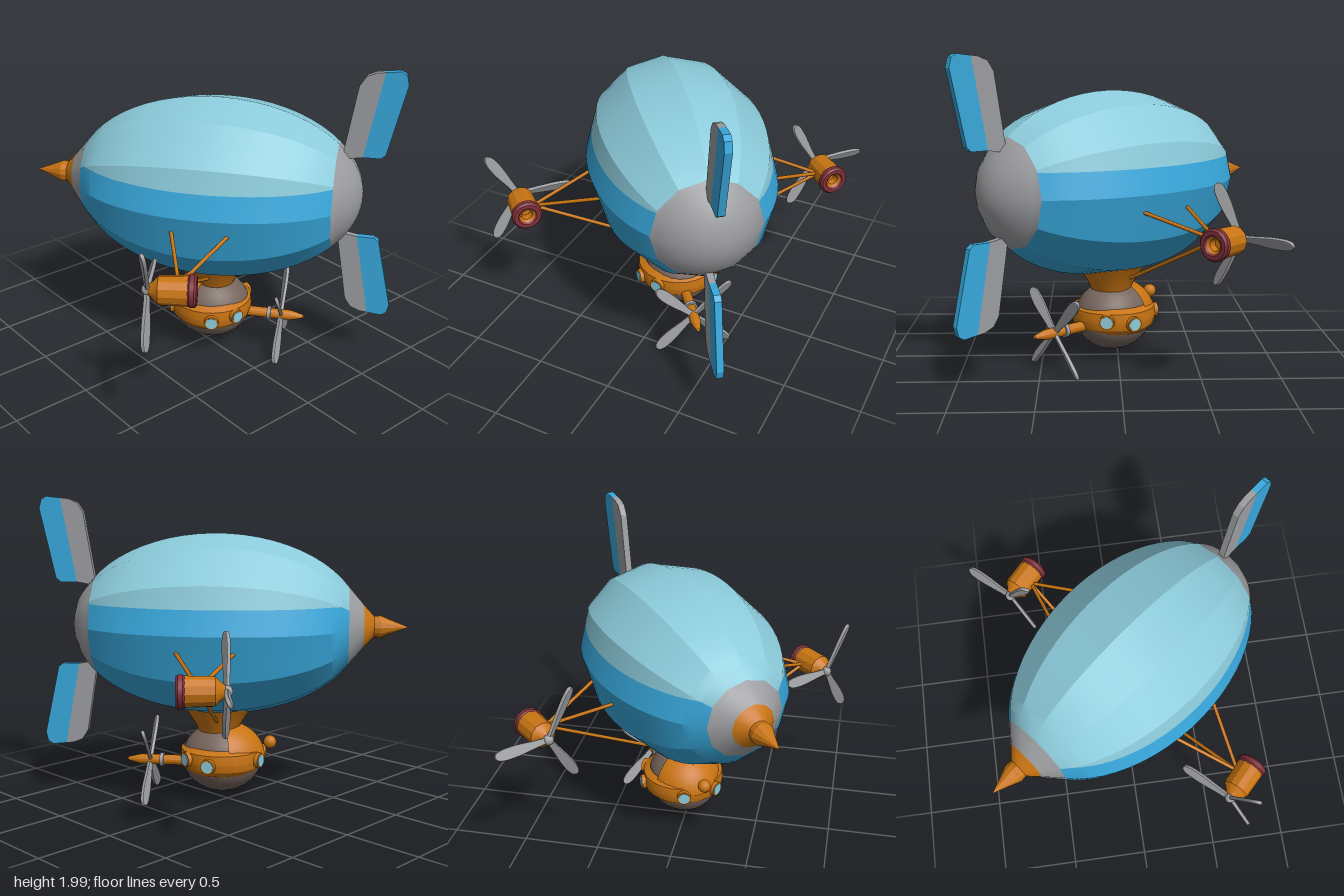
import * as THREE from 'three';
import { toCreasedNormals } from 'three/addons/utils/BufferGeometryUtils.js';

const material = (name, color, side = THREE.FrontSide) => {
  const m = new THREE.MeshStandardMaterial({ color, side });
  m.name = name;
  return m;
};

export function createModel() {
  const lightBlue = material('paleBlue', 0x8ccbdb);
  const blue = material('blue', 0x38a8dc);
  const grey = material('grey', 0x9c9da0);
  const orange = material('orange', 0xc87412, THREE.DoubleSide);
  const brown = material('brown', 0x75645c);
  const red = material('darkRed', 0x80303a);

  const model = new THREE.Group();
  const ship = new THREE.Group(); // nose towards -z, tail towards +z
  ship.name = 'airship';
  ship.rotation.y = 0.661;
  model.add(ship);

  const add = (parent, name, geometry, mat, x = 0, y = 0, z = 0) => {
    const mesh = new THREE.Mesh(geometry, mat);
    mesh.name = name;
    mesh.position.set(x, y, z);
    parent.add(mesh);
    return mesh;
  };
  // Turned profile of [radius, height] pairs, upright or lying along z
  const turned = (points, sides, alongZ = true, crease = 0.4) => {
    const g = new THREE.LatheGeometry(points.map(p => new THREE.Vector2(...p)), sides);
    if (alongZ) g.rotateX(Math.PI / 2);
    return toCreasedNormals(g, crease);
  };
  const rod = (parent, name, a, b, r, mat) => {
    const from = new THREE.Vector3(...a), to = new THREE.Vector3(...b);
    const mesh = add(parent, name, new THREE.CylinderGeometry(r, r, from.distanceTo(to), 8), mat);
    mesh.position.copy(from).lerp(to, 0.5);
    mesh.quaternion.setFromUnitVectors(new THREE.Vector3(0, 1, 0), to.sub(from).normalize());
  };

  // Hull: twelve-sided ellipsoid, split by a level paint line
  const R = 0.59, A = 0.94, hullY = 1.175, hullZ = 0.07, paintLine = 0.155;
  const tNose = -1.13, tTail = 0.96;
  const at = (r, deg) => {
    const a = THREE.MathUtils.degToRad(deg);
    return [r * Math.cos(a), r * Math.sin(a)];
  };
  const cut = (r, side) => {
    const t = Math.min(0.999, paintLine / (0.5 * r));
    return [side * r * (1 - 0.134 * t), 0.5 * r * t];
  };
  const upper = r => [cut(r, 1), ...[30, 60, 90, 120, 150].map(d => at(r, d)), cut(r, -1)];
  const lower = r => [cut(r, -1), ...[180, 210, 240, 270, 300, 330, 360].map(d => at(r, d)), cut(r, 1)];
  const hullPatch = section => {
    const rows = 20, pos = [], index = [], n = section(1).length;
    for (let i = 0; i <= rows; i++) {
      const t = THREE.MathUtils.lerp(tNose, tTail, i / rows);
      for (const [x, y] of section(R * Math.cos(t))) pos.push(x, y, A * Math.sin(t));
    }
    for (let i = 0; i < rows; i++) {
      for (let j = 0; j < n - 1; j++) {
        const a = i * n + j, d = a + n;
        index.push(a, a + 1, d, a + 1, d + 1, d);
      }
    }
    const g = new THREE.BufferGeometry();
    g.setAttribute('position', new THREE.Float32BufferAttribute(pos, 3));
    g.setIndex(index);
    return toCreasedNormals(g, 0.4);
  };
  add(ship, 'upperHull', hullPatch(upper), lightBlue, 0, hullY, hullZ);
  add(ship, 'lowerHull', hullPatch(lower), blue, 0, hullY, hullZ);

  const tail = [];
  for (let i = 0; i <= 10; i++) {
    const t = THREE.MathUtils.lerp(tTail, Math.PI / 2, i / 10);
    tail.push([Math.max(0, R * Math.cos(t)), A * Math.sin(t)]);
  }
  add(ship, 'tailCap', turned(tail, 12), grey, 0, hullY, hullZ);
  add(ship, 'noseCap', turned([[0.14, -0.875], [R * Math.cos(tNose), hullZ + A * Math.sin(tNose)]], 12), grey, 0, hullY);
  add(ship, 'noseSpike', turned([[0, -1.16], [0.035, -1.07], [0.072, -0.98], [0.068, -0.94], [0.14, -0.875]], 12), orange, 0, hullY);

  // Tail fins, grey in front and blue behind, mirrored above and below
  const finParts = [
    ['finFront', grey, [[0.87, 1.47], [0.94, 1.9], [0.98, 1.96], [1.04, 1.985], [1.09, 1.99], [0.99, 1.445], [0.9, 1.43]]],
    ['finStripe', blue, [[0.99, 1.445], [1.09, 1.99], [1.18, 2.0], [1.215, 1.98], [1.23, 1.92], [1.13, 1.47], [1.1, 1.445]]],
  ];
  for (const side of [1, -1]) {
    for (const [name, mat, outline] of finParts) {
      const shape = new THREE.Shape(outline.map(([z, y]) => new THREE.Vector2(-z, side * (y - hullY))));
      const g = new THREE.ExtrudeGeometry(shape, { depth: 0.044, bevelEnabled: false });
      g.translate(0, 0, -0.022);
      g.rotateY(Math.PI / 2);
      add(ship, side > 0 ? name + 'Upper' : name + 'Lower', g, mat, 0, hullY - 0.002);
    }
  }

  // Propellers with paddle blades
  const propeller = (name, length, angles) => {
    const group = new THREE.Group();
    group.name = name;
    const L = length - 0.006;
    const s = new THREE.Shape();
    s.moveTo(0, -0.012);
    s.bezierCurveTo(L * 0.4, -0.016, L * 0.5, -0.034, L * 0.8, -0.03);
    s.bezierCurveTo(L * 0.95, -0.028, L, -0.015, L, 0);
    s.bezierCurveTo(L, 0.015, L * 0.95, 0.028, L * 0.8, 0.03);
    s.bezierCurveTo(L * 0.5, 0.034, L * 0.4, 0.016, 0, 0.012);
    const g = new THREE.ExtrudeGeometry(s, {
      depth: 0.012, bevelSize: 0.006, bevelThickness: 0.006, bevelSegments: 2, curveSegments: 8,
    });
    g.translate(0, 0, -0.006);
    g.rotateX(0.45);
    for (const a of angles) {
      add(group, 'blade', g, grey).rotation.z = THREE.MathUtils.degToRad(a);
    }
    add(group, 'hub', new THREE.SphereGeometry(0.034, 14, 10), grey);
    return group;
  };

  // Engines on struts
  for (const side of [1, -1]) {
    const engine = new THREE.Group();
    engine.name = side > 0 ? 'leftEngine' : 'rightEngine';
    engine.position.set(side * 1.01, 0.937, 0.05);
    engine.rotation.y = 0.16;
    ship.add(engine);
    add(engine, 'engineCase', turned([[0, -0.16], [0.035, -0.155], [0.05, -0.135], [0.085, -0.1], [0.09, 0.075]], 12), orange);
    add(engine, 'exhaustRing', turned([[0.088, 0.068], [0.097, 0.078], [0.097, 0.105], [0.085, 0.118], [0.06, 0.118], [0.05, 0.105]], 16), red);
    add(engine, 'exhaustCup', turned([[0.05, 0.108], [0.035, 0.095], [0.03, 0.05], [0, 0.05]], 16), orange);
    const prop = propeller('enginePropeller', 0.355, [0, 120, 240]);
    prop.position.z = -0.165;
    engine.add(prop);
    const start = [side * 0.95, 0.94, 0.05];
    for (const end of [[side * 0.54, 1.07, -0.1], [side * 0.54, 1.07, 0.25], [side * 0.19, 0.575, 0.05]]) {
      rod(ship, 'engineStrut', start, end, 0.012, orange);
    }
  }

  // Gondola
  const podZ = 0.037;
  add(ship, 'gondolaNeck', turned([[0.13, 0.47], [0.15, 0.52], [0.225, 0.64]], 20, false), orange, 0, 0, 0.06);
  add(ship, 'gondolaPod', new THREE.SphereGeometry(1, 28, 18), brown, 0, 0.295, podZ).scale.set(0.235, 0.228, 0.265);
  add(ship, 'gondolaBand', turned([[0.23, 0.215], [0.265, 0.25], [0.277, 0.3], [0.27, 0.36], [0.225, 0.385]], 24, false), orange, 0, 0, podZ);
  add(ship, 'gondolaHood', new THREE.SphereGeometry(1, 20, 8, 1.5 * Math.PI - 1.3, 2.6, 0.35, 1.15), orange, 0, 0.295, podZ)
    .scale.set(0.252, 0.24, 0.285);
  add(ship, 'noseLamp', new THREE.SphereGeometry(0.044, 14, 10), orange, 0, 0.4, -0.28);

  // Portholes around the band
  for (const side of [1, -1]) {
    for (const [deg, y] of [[48, 0.315], [12, 0.295], [-65, 0.305]]) {
      const a = THREE.MathUtils.degToRad(deg);
      const porthole = new THREE.Group();
      porthole.name = 'porthole';
      porthole.position.set(side * 0.275 * Math.cos(a), y, podZ + 0.275 * Math.sin(a));
      porthole.rotation.y = Math.atan2(side * Math.cos(a), Math.sin(a));
      ship.add(porthole);
      add(porthole, 'portholeRim', new THREE.CylinderGeometry(0.047, 0.05, 0.04, 18).rotateX(Math.PI / 2), orange);
      add(porthole, 'portholeGlass', new THREE.CylinderGeometry(0.038, 0.038, 0.006, 18).rotateX(Math.PI / 2), lightBlue, 0, 0, 0.021);
    }
  }

  // Rear drive
  add(ship, 'rearShaft', turned([[0.034, 0.2], [0.034, 0.58], [0.028, 0.61], [0.012, 0.67], [0, 0.68]], 14), orange, 0, 0.257);
  add(ship, 'shaftCollar', new THREE.CylinderGeometry(0.045, 0.045, 0.025, 16).rotateX(Math.PI / 2), grey, 0, 0.257, 0.44);
  const rear = propeller('rearPropeller', 0.345, [45, 135, 225, 315]);
  rear.position.set(0, 0.257, 0.52);
  ship.add(rear);

  return model;
}
